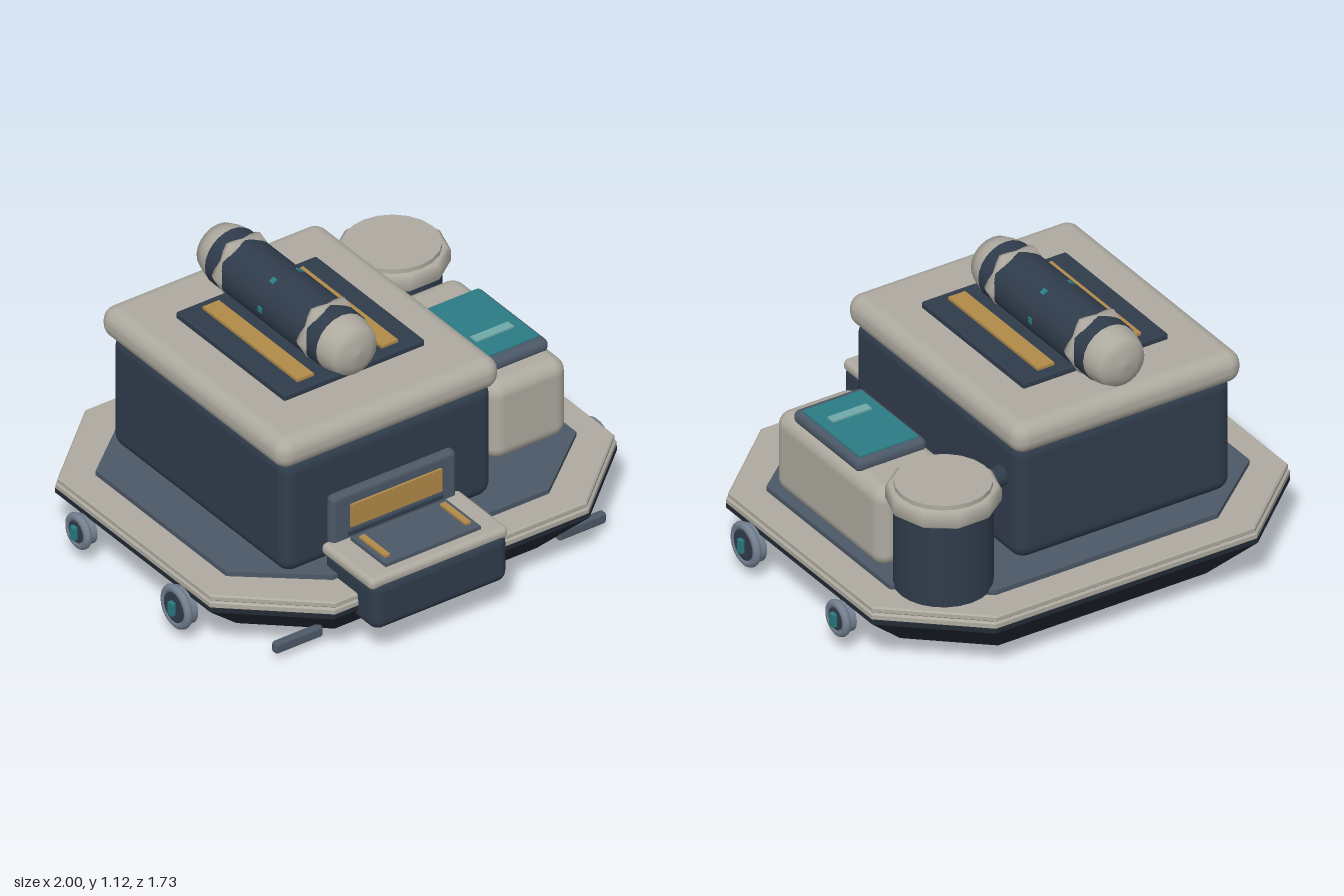
import * as THREE from 'three';
import { RoundedBoxGeometry } from 'three/addons/geometries/RoundedBoxGeometry.js';

const mat = (color, extra = {}) => new THREE.MeshStandardMaterial({ color, ...extra });

export function createModel() {
  const model = new THREE.Group();
  const navy = mat(0x303c4c), slate = mat(0x4c5867), cream = mat(0xaeaaa0);
  const hullDark = mat(0x222a34, { flatShading: true });
  const gold = mat(0xb08a48), teal = mat(0x2a7b84), paleTeal = mat(0x6fa9a9), steel = mat(0x748090);

  const add = (name, geometry, material, x = 0, y = 0, z = 0, parent = model) => {
    const mesh = new THREE.Mesh(geometry, material);
    mesh.name = name;
    mesh.position.set(x, y, z);
    parent.add(mesh);
    return mesh;
  };
  // Box given by its min and max on each axis; radius rounds its edges
  const box = (name, material, [x0, x1], [y0, y1], [z0, z1], radius = 0, parent = model) => {
    const size = [x1 - x0, y1 - y0, z1 - z0];
    const g = radius ? new RoundedBoxGeometry(...size, 4, radius) : new THREE.BoxGeometry(...size);
    return add(name, g, material, (x0 + x1) / 2, (y0 + y1) / 2, (z0 + z1) / 2, parent);
  };
  // Eight-sided slab: half width, half depth, corner cuts, base y and height
  const slab = (hw, hd, cx, cz, y, h, bevel = 0, steps = 1) => {
    const a = hw - bevel, b = hd - bevel;
    const shape = new THREE.Shape([
      [a, -b + cz], [a, b - cz], [a - cx, b], [-a + cx, b],
      [-a, b - cz], [-a, -b + cz], [-a + cx, -b], [a - cx, -b],
    ].map(p => new THREE.Vector2(...p)));
    const g = new THREE.ExtrudeGeometry(shape, {
      depth: h - 2 * bevel, steps, bevelEnabled: bevel > 0,
      bevelThickness: bevel, bevelSize: bevel, bevelSegments: 1,
    });
    return g.rotateX(-Math.PI / 2).translate(0, y + bevel, -0.05);
  };

  // Hull: slab tapering towards a slightly chamfered bottom
  const hull = slab(0.94, 0.81, 0.35, 0.31, 0, 0.22, 0, 11);
  const p = hull.attributes.position;
  for (let i = 0; i < p.count; i++) {
    const y = p.getY(i);
    const s = y < 0.01 ? 0.755 : Math.min(1, 0.77 + 0.23 * y / 0.2);
    p.setX(i, p.getX(i) * s);
    p.setZ(i, (p.getZ(i) + 0.05) * s - 0.05);
  }
  hull.computeVertexNormals();
  add('hull', hull, hullDark);

  // Deck
  add('lowerRim', slab(0.94, 0.81, 0.35, 0.31, 0.215, 0.03, 0.006), cream);
  add('upperRim', slab(0.935, 0.805, 0.35, 0.31, 0.243, 0.027, 0.006), cream);
  add('deckPlate', slab(0.81, 0.675, 0.31, 0.255, 0.265, 0.025), slate);

  // Main cabin and its lid
  box('cabin', navy, [-0.65, 0.32], [0.28, 0.79], [-0.605, 0.527], 0.06);
  box('cabinLid', cream, [-0.68, 0.345], [0.765, 0.897], [-0.64, 0.547], 0.06);
  box('roofPlate', navy, [-0.49, 0.16], [0.88, 0.922], [-0.4, 0.3], 0.008);
  for (const x of [-0.36, 0.03])
    box('roofStrip', gold, [x - 0.038, x + 0.038], [0.91, 0.934], [-0.355, 0.255]);

  // Capsule lying on the roof along z
  const capsule = new THREE.Group();
  capsule.name = 'roofCapsule';
  capsule.position.set(-0.165, 0.995, -0.138);
  model.add(capsule);
  add('capsuleBody', new THREE.CylinderGeometry(0.123, 0.123, 0.71, 24).rotateX(Math.PI / 2), navy, 0, 0, 0, capsule);
  const capProfile = [[0.119, 0], [0.119, 0.02], [0.113, 0.05], [0.1, 0.088], [0.06, 0.104], [0, 0.113]]
    .map(q => new THREE.Vector2(...q));
  for (const s of [-1, 1]) {
    const cap = add('capsuleEnd', new THREE.LatheGeometry(capProfile, 20).rotateX(Math.PI / 2), cream, 0, 0, s * 0.353, capsule);
    if (s < 0) cap.rotation.y = Math.PI;
    add('capsuleBand', new THREE.TorusGeometry(0.114, 0.031, 8, 6), cream, 0, 0, s * 0.272, capsule);
  }
  for (let i = 0; i < 6; i++) {
    const a = i * Math.PI / 3;
    const dot = add('capsuleLight', new THREE.BoxGeometry(0.012, 0.024, 0.024), teal,
      0.12 * Math.cos(a), 0.12 * Math.sin(a), 0, capsule);
    dot.rotation.z = a;
  }

  // Front panel
  box('frontPanel', slate, [-0.455, 0.12], [0.3, 0.58], [0.5, 0.562], 0.02);
  box('frontWindow', gold, [-0.375, 0.045], [0.43, 0.53], [0.54, 0.572]);
  box('frontSlot', navy, [-0.385, 0.05], [0.395, 0.41], [0.54, 0.572]);

  // Front locker
  box('locker', navy, [-0.478, 0.147], [0.143, 0.36], [0.525, 0.865], 0.045);
  box('lockerLid', cream, [-0.487, 0.152], [0.33, 0.38], [0.525, 0.855], 0.022);
  box('lockerPlate', slate, [-0.385, 0.055], [0.37, 0.395], [0.58, 0.805]);
  for (const x of [-0.352, 0.022])
    box('lockerStrip', gold, [x - 0.013, x + 0.013], [0.39, 0.405], [0.605, 0.77]);

  // Side box with screen
  box('sideBox', cream, [0.425, 0.785], [0.28, 0.627], [-0.368, 0.365], 0.06);
  box('screenFrame', slate, [0.45, 0.765], [0.61, 0.67], [-0.19, 0.267], 0.028);
  box('screen', teal, [0.475, 0.742], [0.64, 0.675], [-0.165, 0.228]);
  box('screenBar', paleTeal, [0.52, 0.695], [0.66, 0.682], [0.09, 0.13]);

  // Round tank and the pipe feeding it
  add('tank', new THREE.CylinderGeometry(0.19, 0.19, 0.37, 24), navy, 0.617, 0.465, -0.545);
  const rimProfile = [[0.17, 0.63], [0.205, 0.632], [0.22, 0.645], [0.22, 0.692], [0.205, 0.706], [0.17, 0.708]]
    .map(q => new THREE.Vector2(...q));
  add('tankRim', new THREE.LatheGeometry(rimProfile, 10, Math.PI / 2), mat(0xaeaaa0, { side: THREE.DoubleSide }), 0.617, 0, -0.545);
  add('tankLid', new THREE.CylinderGeometry(0.187, 0.187, 0.045, 20), cream, 0.617, 0.703, -0.545);
  const pipePath = new THREE.CatmullRomCurve3([[0.28, 0.625, -0.495], [0.36, 0.618, -0.495], [0.5, 0.585, -0.5]]
    .map(q => new THREE.Vector3(...q)));
  add('pipe', new THREE.TubeGeometry(pipePath, 10, 0.042, 12), navy);

  // Side lamps and front skids, mirrored left and right
  for (const s of [-1, 1]) {
    for (const [z, r] of [[0.27, 0.092], [-0.36, 0.075]]) {
      const lamp = new THREE.Group();
      lamp.name = 'sideLamp';
      lamp.position.set(s * 0.95, 0.14, z);
      lamp.rotation.y = s * Math.PI / 2;
      model.add(lamp);
      const disc = (rad, len) => new THREE.CylinderGeometry(rad, rad, len, 24).rotateX(Math.PI / 2);
      add('lampHousing', disc(r - 0.012, 0.05), steel, 0, 0, 0, lamp);
      add('lampRing', new THREE.TorusGeometry(r - 0.017, 0.017, 10, 28), steel, 0, 0, 0.018, lamp);
      add('lampFace', disc(r - 0.03, 0.02), navy, 0, 0, 0.022, lamp);
      add('lampGlow', new THREE.BoxGeometry(0.026, 0.055, 0.02), teal, 0, 0, 0.04, lamp);
    }
    box('skid', slate, [s * 0.655 - 0.11, s * 0.655 + 0.11], [0.035, 0.083], [0.595, 0.63], 0.012);
  }
  return model;
}
